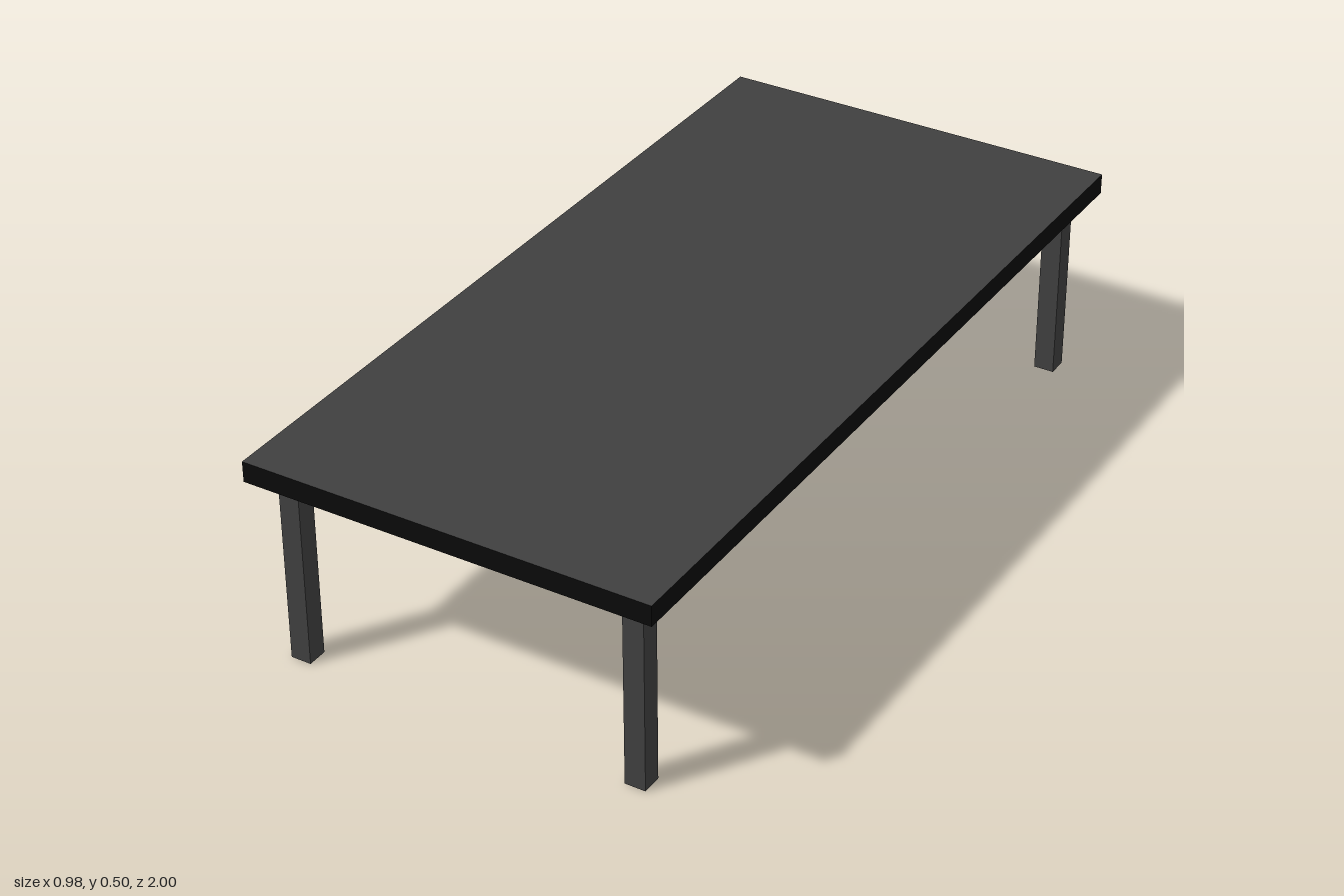
import * as THREE from 'three';

export function createModel() {
  const model = new THREE.Group();
  model.name = 'lowTable';

  const grey = new THREE.MeshStandardMaterial({ color: 0x404040 });
  grey.name = 'dark grey';
  const black = new THREE.MeshStandardMaterial({ color: 0x0a0a0a });
  black.name = 'black';

  const width = 0.975, length = 2, height = 0.504, thickness = 0.049;
  const legHeight = height - thickness;

  // Slab: grey upper face, black edges and underside (+x, -x, +y, -y, +z, -z)
  const top = new THREE.Mesh(
    new THREE.BoxGeometry(width, thickness, length),
    [black, black, grey, black, black, black]
  );
  top.name = 'tableTop';
  top.position.y = height - thickness / 2;
  model.add(top);

  // Four square legs, set in from the edges by their own thickness
  const legGeometry = new THREE.BoxGeometry(thickness, legHeight, thickness);
  const inset = thickness * 1.5;
  for (const [zName, z] of [['front', 1], ['back', -1]]) {
    for (const [xName, x] of [['Left', 1], ['Right', -1]]) {
      const leg = new THREE.Mesh(legGeometry, grey);
      leg.name = `${zName}${xName}Leg`;
      leg.position.set(x * (width / 2 - inset), legHeight / 2, z * (length / 2 - inset));
      model.add(leg);
    }
  }

  return model;
}
